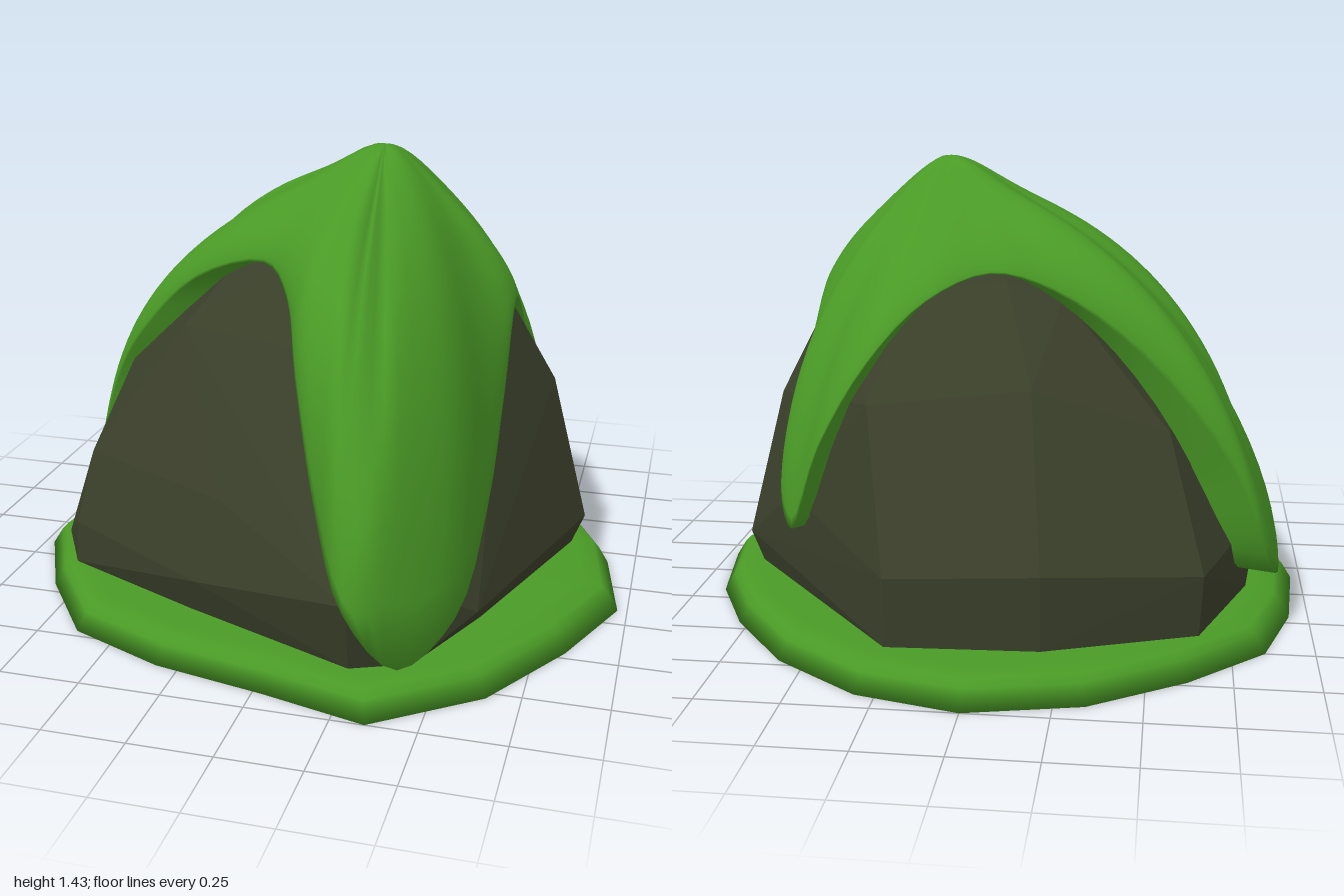
import * as THREE from 'three';
import { ConvexGeometry } from 'three/addons/geometries/ConvexGeometry.js';

const green = new THREE.MeshStandardMaterial({ color: 0x4a9a26, side: THREE.DoubleSide });
const stone = new THREE.MeshStandardMaterial({ color: 0x3a3f2a, flatShading: true });

// Skin closed rings of points, listed from top to bottom, each ring counter-clockwise from above
function loft(rings) {
  const n = rings[0].length, positions = [], index = [];
  rings.forEach(ring => ring.forEach(p => positions.push(p.x, p.y, p.z)));
  for (let r = 0; r < rings.length - 1; r++) {
    for (let j = 0; j < n; j++) {
      const a = r * n + j, b = r * n + (j + 1) % n;
      index.push(a, a + n, b + n, a, b + n, b);
    }
  }
  const g = new THREE.BufferGeometry();
  g.setAttribute('position', new THREE.Float32BufferAttribute(positions, 3));
  g.setIndex(index);
  g.computeVertexNormals();
  return g;
}

function add(group, name, geometry, material) {
  const mesh = new THREE.Mesh(geometry, material);
  mesh.name = name;
  group.add(mesh);
}

// Irregular round slab with a soft upper rim
function groundGeometry() {
  const outline = [
    [0, -1], [-0.34, -0.92], [-0.62, -0.73], [-0.85, -0.5], [-0.94, -0.2], [-0.97, 0.16],
    [-0.83, 0.45], [-0.63, 0.72], [-0.32, 0.85], [0.03, 0.92], [0.35, 1], [0.65, 0.78],
    [0.84, 0.47], [0.97, 0.16], [0.91, -0.18], [0.78, -0.45], [0.58, -0.72], [0.31, -0.92],
  ];
  const ring = (scale, y) => outline.map(([x, z]) => new THREE.Vector3(x * scale, y, z * scale));
  return loft([ring(0, 0.09), ring(0.88, 0.085), ring(0.945, 0.075), ring(0.965, 0.055),
    ring(1, 0), ring(0, 0)]);
}

// Faceted boulder: the hull of its corners
function rockGeometry() {
  const foot = [
    [-0.85, 0.11, 0.27], [-0.74, 0.1, 0.46], [-0.28, 0.09, 0.65], [0.27, 0.09, 0.87],
    [0.44, 0.09, 0.8], [0.58, 0.09, 0.48], [0.79, 0.09, -0.12], [0.25, 0.09, -0.79],
    [-0.2, 0.09, -0.77], [-0.65, 0.09, -0.6], [-0.8, 0.1, -0.2],
  ];
  const belt = [
    [-0.8, 0.22, 0.3], [-0.73, 0.24, 0.46], [-0.24, 0.22, 0.72], [0.28, 0.32, 0.94],
    [0.48, 0.3, 0.78], [0.61, 0.4, 0.3], [0.6, 0.2, 0.65], [0.83, 0.19, -0.12],
    [0.25, 0.3, -0.8], [-0.2, 0.32, -0.79], [-0.66, 0.28, -0.62], [-0.8, 0.3, -0.2],
    [-0.69, 0.47, 0.4], [-0.17, 0.47, 0.67], [0.62, 0.4, -0.36],
  ];
  const shoulder = [
    [-0.62, 0.72, 0.2], [-0.38, 0.9, 0.36], [0.02, 0.9, 0.49], [0.33, 0.82, 0.55],
    [0.56, 0.75, 0.25], [0.71, 0.67, -0.1], [0.33, 0.75, -0.58], [-0.15, 0.8, -0.55],
    [-0.55, 0.65, -0.4],
  ];
  const crown = [
    [-0.26, 1.07, 0.18], [-0.08, 1.1, 0.3], [0.25, 1.1, 0.3], [0.57, 0.98, 0.05],
    [0.25, 1.05, -0.32], [-0.05, 1.08, -0.31], [-0.22, 1.03, -0.28],
  ];
  return new ConvexGeometry([...foot, ...belt, ...shoulder, ...crown].map(p => new THREE.Vector3(...p)));
}

// Moss draped from the summit in three lobes; each hem point has a fullness for its slope
function mossGeometry() {
  const hem = [
    [0.42, 0.13, 0.91, 3], [0.55, 0.22, 0.74, 2.6], [0.59, 0.45, 0.46, 2.2],
    [0.6, 0.74, 0.27, 1.8], [0.6, 0.98, 0.08, 1.5], [0.61, 0.85, -0.07, 1.5],
    [0.63, 0.62, -0.2, 1.6], [0.66, 0.4, -0.35, 1.7], [0.6, 0.32, -0.46, 1.6],
    [0.49, 0.6, -0.54, 1.4], [0.34, 0.86, -0.52, 1.3], [0.18, 1.03, -0.41, 1.25],
    [0, 1.1, -0.31, 1.4], [-0.2, 1.06, -0.37, 1.6], [-0.47, 0.88, -0.42, 1.7],
    [-0.74, 0.55, -0.44, 1.7], [-0.87, 0.22, -0.37, 1.7], [-0.9, 0.18, -0.14, 1.65],
    [-0.83, 0.35, 0, 1.6], [-0.73, 0.6, 0.09, 1.6], [-0.6, 0.8, 0.18, 1.6],
    [-0.38, 1.02, 0.25, 1.6], [-0.13, 1.11, 0.34, 1.7], [-0.01, 1.05, 0.5, 1.9],
    [0.06, 0.86, 0.66, 2.1], [0.16, 0.52, 0.81, 2.1], [0.28, 0.32, 0.98, 1.7],
  ];
  const edge = new THREE.CatmullRomCurve3(hem.map(([x, y, z]) => new THREE.Vector3(x, y, z)), true);
  const full = new THREE.CatmullRomCurve3(hem.map((h, i) => new THREE.Vector3(h[3], 0, i)), true);
  const columns = hem.length * 4, rows = 24, rings = [];
  const summit = new THREE.Vector3(0.17, 1.36, 0.03);
  for (let r = 0; r <= rows + 1; r++) {
    const angle = Math.min(r / rows, 1) * Math.PI / 2;
    rings.push(Array.from({ length: columns }, (_, j) => {
      const e = edge.getPoint(j / columns), n = full.getPoint(j / columns).x;
      // The last ring tucks the hem into the rock
      const out = r > rows ? 0.86 : Math.pow(Math.sin(angle), 2 / n);
      const up = Math.pow(Math.max(Math.cos(angle), 0), 2 / n);
      const x = THREE.MathUtils.lerp(summit.x, e.x, out);
      const z = THREE.MathUtils.lerp(summit.z, e.z, out);
      // Small rounded peak on top
      const peak = 0.07 * Math.exp(-((x - summit.x) ** 2 + (z - summit.z) ** 2) / 0.03);
      return new THREE.Vector3(x, THREE.MathUtils.lerp(e.y, summit.y, up) + peak, z);
    }));
  }
  return loft(rings);
}

export function createModel() {
  const group = new THREE.Group();
  group.name = 'mossyRock';
  add(group, 'ground', groundGeometry(), green);
  add(group, 'rock', rockGeometry(), stone);
  add(group, 'moss', mossGeometry(), green);
  return group;
}
